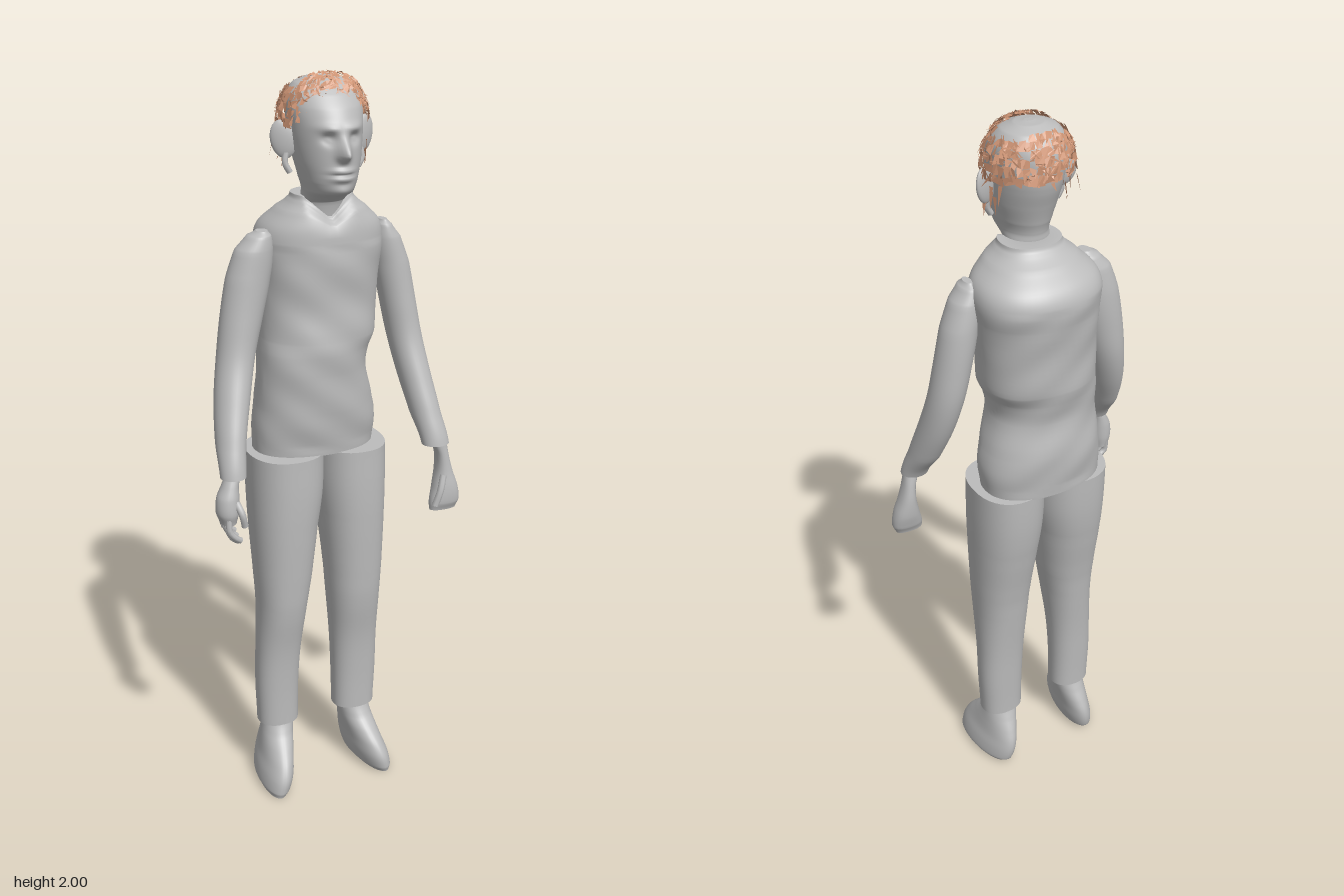
import * as THREE from 'three';

const grey = new THREE.MeshStandardMaterial({ color: 0xbcbcbc });
grey.name = 'plain grey';
const brown = new THREE.MeshStandardMaterial({ color: 0xd09676, side: THREE.DoubleSide });
brown.name = 'hair brown';

// Small seeded random function
let seed = 7;
const rnd = () => (seed = (seed * 16807) % 2147483647) / 2147483647;
const gauss = (d, w) => Math.exp(-(d * d) / (w * w));

// Skins rounded rings [y, xMin, xMax, zMin, zMax], listed from bottom to top
function loft(rings, { segs = 36, steps = 6, power = 2, rule } = {}) {
  const at = (i, k) => rings[Math.min(rings.length - 1, Math.max(0, i))][k];
  const cr = (a, b, c, d, t) =>
    0.5 * (2 * b + (c - a) * t + (2 * a - 5 * b + 4 * c - d) * t * t + (3 * b - a - 3 * c + d) * t * t * t);
  const rows = (rings.length - 1) * steps + 1;
  const pos = [], index = [], v = new THREE.Vector3();
  const add = (x, y, z) => {
    v.set(x, y, z);
    if (rule) rule(v);
    pos.push(v.x, v.y, v.z);
  };
  const ring = (r) => {
    const i = Math.min(rings.length - 2, Math.floor(r / steps)), t = r / steps - i;
    const [y, x0, x1, z0, z1] = [0, 1, 2, 3, 4].map((k) =>
      k ? cr(at(i - 1, k), at(i, k), at(i + 1, k), at(i + 2, k), t) : at(i, 0) + (at(i + 1, 0) - at(i, 0)) * t);
    for (let j = 0; j < segs; j++) {
      const a = (j / segs) * Math.PI * 2, s = Math.sin(a), c = Math.cos(a);
      add((x0 + x1) / 2 + ((x1 - x0) / 2) * Math.sign(s) * Math.abs(s) ** (2 / power), y,
        (z0 + z1) / 2 + ((z1 - z0) / 2) * Math.sign(c) * Math.abs(c) ** (2 / power));
    }
    return [(x0 + x1) / 2, y, (z0 + z1) / 2];
  };
  for (let r = 0; r < rows; r++) ring(r);
  for (let r = 0; r < rows - 1; r++) for (let j = 0; j < segs; j++) {
    const a = r * segs + j, b = r * segs + ((j + 1) % segs);
    index.push(a, b, a + segs, b, b + segs, a + segs);
  }
  // End caps with their own vertices so the rims stay sharp
  for (const r of [0, rows - 1]) {
    const base = pos.length / 3;
    add(...ring(r));
    for (let j = 0; j < segs; j++) {
      const a = base + j, b = base + ((j + 1) % segs);
      index.push(base + segs, ...(r ? [a, b] : [b, a]));
    }
  }
  const g = new THREE.BufferGeometry();
  g.setAttribute('position', new THREE.Float32BufferAttribute(pos, 3));
  g.setIndex(index);
  g.computeVertexNormals();
  return g;
}

// Face relief: nose, brows, eye sockets, lips and chin
function faceRule(v) {
  if (v.z < 0.05) return;
  const x = v.x - 0.003, ax = Math.abs(x), y = v.y;
  v.z += 0.038 * gauss(x, 0.015) * gauss(y - 1.815, y > 1.815 ? 0.035 : 0.014)
    + 0.008 * gauss(ax - 0.032, 0.025) * gauss(y - 1.878, 0.011)
    - 0.014 * gauss(ax - 0.033, 0.016) * gauss(y - 1.852, 0.013)
    + 0.006 * gauss(ax - 0.033, 0.009) * gauss(y - 1.850, 0.007)
    + 0.011 * gauss(x, 0.026) * (gauss(y - 1.775, 0.007) + gauss(y - 1.757, 0.007))
    - 0.007 * gauss(x, 0.028) * gauss(y - 1.766, 0.004)
    + 0.008 * gauss(x, 0.025) * gauss(y - 1.725, 0.014);
}

// Collar dip and soft cloth folds
function shirtRule(v) {
  if (v.y > 1.6 && v.z > 0) v.y -= 0.06 * Math.max(0, 1 - Math.abs(v.x - 0.005) / 0.065) * ((v.y - 1.6) / 0.1);
  if (v.y < 1.58 && v.y > 1.03) {
    const f = 0.003 * Math.sin(v.y * 42 + v.x * 16) * Math.sin(v.x * 22 + v.y * 9);
    v.z += Math.sign(v.z) * f;
  }
}

// Jagged hair shell with an open crown
function hairGeometry() {
  const pos = [], n = 44, m = 9;
  const point = (a, e, r = 1) => {
    const c = Math.max(0, Math.cos(e)) ** 0.7 * r;
    return [0.007 + 0.118 * c * Math.sin(a), 1.868 + 0.13 * Math.sin(e) * (0.5 + 0.5 * r), 0.002 + 0.105 * c * Math.cos(a)];
  };
  const jit = (a, e) => point(a + (rnd() - 0.5) * 0.1, e + (rnd() - 0.5) * 0.08, 0.96 + rnd() * 0.08);
  for (let i = 0; i < n; i++) for (let k = 0; k < m; k++) {
    const a = (i / n) * Math.PI * 2, da = 6.6 / n, front = Math.max(0, Math.cos(a));
    const e0 = 0.48 * front ** 2, de = (1.5 - e0) / m, e = e0 + k * de;
    const mid = point(a, e + de / 2);
    if (mid[2] < 0.02 && mid[2] > -0.065 && e > 0.72) continue;
    if (rnd() < 0.06) continue;
    const p = jit(a, e), q = jit(a + da, e), s = jit(a + da, e + de), t = jit(a, e + de);
    pos.push(...p, ...q, ...s, ...p, ...s, ...t);
  }
  // Loose tufts crossing the shell
  for (let i = 0; i < 170; i++) {
    const a = rnd() * 6.283, front = Math.max(0, Math.cos(a)), e = 0.45 * front + rnd() * 0.75;
    const w = 0.03 + rnd() * 0.03, tilt = (rnd() - 0.5) * 0.5;
    pos.push(...point(a - w, e, 1), ...point(a + w, e, 1.02), ...point(a + tilt, e + (rnd() - 0.45) * 0.5, 1.06));
  }
  // Wisps beside the ears
  for (const s of [-1, 1]) for (let i = 0; i < 9; i++) {
    const x = s * (0.085 + rnd() * 0.03), y = 1.87 - rnd() * 0.07, z = -0.03 + rnd() * 0.05;
    pos.push(x, y, z, x + s * 0.004, y, z + 0.012, x + s * rnd() * 0.015, y - 0.045, z + 0.004);
  }
  const g = new THREE.BufferGeometry();
  g.setAttribute('position', new THREE.Float32BufferAttribute(pos, 3));
  g.computeVertexNormals();
  return g;
}

export function createModel() {
  const model = new THREE.Group();
  const add = (name, geometry, material = grey) => {
    const mesh = new THREE.Mesh(geometry, material);
    mesh.name = name;
    model.add(mesh);
    return mesh;
  };
  const rod = (name, pts, r) =>
    add(name, new THREE.TubeGeometry(new THREE.CatmullRomCurve3(pts.map((p) => new THREE.Vector3(...p))), 8, r, 8));

  // Shirt
  add('shirt', loft([
    [1.01, -0.175, 0.16, -0.145, 0.075], [1.08, -0.175, 0.166, -0.152, 0.085], [1.14, -0.168, 0.155, -0.152, 0.09],
    [1.23, -0.162, 0.132, -0.145, 0.098], [1.29, -0.158, 0.14, -0.152, 0.1], [1.33, -0.154, 0.158, -0.16, 0.097],
    [1.42, -0.15, 0.165, -0.167, 0.092], [1.52, -0.15, 0.175, -0.176, 0.094], [1.58, -0.155, 0.182, -0.184, 0.093],
    [1.62, -0.143, 0.17, -0.168, 0.09], [1.66, -0.105, 0.128, -0.125, 0.082], [1.685, -0.077, 0.096, -0.09, 0.068],
    [1.70, -0.07, 0.088, -0.08, 0.06],
  ], { segs: 56, power: 2.25, rule: shirtRule }));

  // Trouser legs
  add('rightTrouserLeg', loft([
    [0.18, -0.192, -0.075, -0.05, 0.052], [0.3, -0.195, -0.073, -0.055, 0.055], [0.42, -0.192, -0.066, -0.062, 0.064],
    [0.55, -0.188, -0.052, -0.075, 0.085], [0.65, -0.192, -0.036, -0.088, 0.093], [0.8, -0.198, -0.016, -0.115, 0.1],
    [0.9, -0.2, 0.0, -0.13, 0.102], [1.012, -0.2, 0.004, -0.136, 0.1],
  ], { power: 2.3 }));
  add('leftTrouserLeg', loft([
    [0.18, 0.042, 0.165, -0.05, 0.052], [0.3, 0.04, 0.17, -0.055, 0.055], [0.42, 0.035, 0.17, -0.062, 0.064],
    [0.55, 0.025, 0.172, -0.075, 0.085], [0.65, 0.018, 0.177, -0.088, 0.093], [0.8, 0.005, 0.183, -0.115, 0.1],
    [0.9, -0.004, 0.186, -0.13, 0.102], [1.012, -0.006, 0.186, -0.136, 0.1],
  ], { power: 2.3 }));

  // Shoes, toes turned slightly out
  for (const [name, s, ankle] of [['rightShoe', -1, -0.13], ['leftShoe', 1, 0.1]]) {
    const shoe = add(name, loft([
      [0, -0.036, 0.036, -0.065, 0.145], [0.015, -0.046, 0.046, -0.082, 0.15], [0.05, -0.048, 0.048, -0.09, 0.148],
      [0.085, -0.045, 0.045, -0.088, 0.13], [0.12, -0.045, 0.045, -0.075, 0.098], [0.15, -0.045, 0.045, -0.06, 0.068],
      [0.19, -0.044, 0.044, -0.045, 0.048],
    ], { rule: (v) => { v.x += s * (0.035 * (1 - v.y / 0.19) + 0.1 * v.z * (1 - v.y / 0.25)); } }));
    shoe.position.x = ankle;
  }

  // Sleeves
  add('rightSleeve', loft([
    [1.02, -0.33, -0.262, 0.098, 0.165], [1.1, -0.325, -0.247, 0.04, 0.14], [1.2, -0.31, -0.218, -0.01, 0.102],
    [1.3, -0.29, -0.19, -0.04, 0.068], [1.4, -0.274, -0.162, -0.05, 0.056], [1.5, -0.255, -0.138, -0.052, 0.05],
    [1.57, -0.23, -0.13, -0.045, 0.046], [1.605, -0.198, -0.135, -0.032, 0.038], [1.618, -0.175, -0.145, -0.015, 0.025],
  ]));
  add('leftSleeve', loft([
    [1.02, 0.246, 0.322, 0.098, 0.165], [1.1, 0.23, 0.312, 0.04, 0.14], [1.2, 0.212, 0.3, -0.01, 0.102],
    [1.3, 0.194, 0.287, -0.04, 0.068], [1.4, 0.175, 0.271, -0.05, 0.056], [1.5, 0.157, 0.252, -0.052, 0.05],
    [1.57, 0.148, 0.225, -0.045, 0.046], [1.605, 0.155, 0.198, -0.032, 0.038], [1.618, 0.165, 0.185, -0.015, 0.025],
  ]));

  // Hands
  add('rightPalm', loft([
    [0.9, -0.338, -0.295, 0.112, 0.168], [0.93, -0.348, -0.288, 0.108, 0.176], [0.97, -0.345, -0.286, 0.108, 0.172],
    [1.0, -0.33, -0.285, 0.11, 0.162], [1.03, -0.318, -0.275, 0.112, 0.152],
  ], { segs: 20 }));
  for (let i = 0; i < 4; i++) {
    const z = 0.116 + i * 0.016, low = 0.845 + Math.abs(i - 2) * 0.008;
    rod('rightFinger', [[-0.322, 0.92, z], [-0.322, 0.885, z + 0.004], [-0.308, low + 0.012, z + 0.004], [-0.292, low, z]], 0.0085);
  }
  rod('rightThumb', [[-0.3, 0.96, 0.16], [-0.29, 0.93, 0.176], [-0.282, 0.895, 0.172]], 0.0095);
  add('leftPalm', loft([
    [0.828, 0.268, 0.345, 0.125, 0.16], [0.85, 0.268, 0.354, 0.115, 0.168], [0.89, 0.278, 0.35, 0.105, 0.168],
    [0.94, 0.288, 0.334, 0.102, 0.16], [0.985, 0.287, 0.322, 0.106, 0.155], [1.03, 0.272, 0.315, 0.112, 0.152],
  ], { segs: 20, power: 2.3 }));
  rod('leftThumb', [[0.3, 0.93, 0.155], [0.287, 0.89, 0.166], [0.272, 0.848, 0.166]], 0.0095);

  // Head and neck
  add('head', loft([
    [1.6, -0.055, 0.06, -0.055, 0.05], [1.685, -0.055, 0.061, -0.045, 0.062], [1.702, -0.055, 0.061, -0.045, 0.092],
    [1.718, -0.058, 0.064, -0.046, 0.128], [1.745, -0.066, 0.072, -0.054, 0.14], [1.79, -0.077, 0.083, -0.068, 0.142],
    [1.84, -0.085, 0.09, -0.085, 0.141], [1.88, -0.088, 0.094, -0.092, 0.138], [1.92, -0.09, 0.098, -0.092, 0.12],
    [1.95, -0.084, 0.092, -0.083, 0.095], [1.972, -0.066, 0.074, -0.066, 0.068], [1.985, -0.035, 0.043, -0.036, 0.036],
    [1.988, -0.01, 0.018, -0.01, 0.01],
  ], { segs: 96, steps: 9, rule: faceRule }));

  // Ears
  for (const s of [-1, 1]) {
    const ear = add(s < 0 ? 'rightEar' : 'leftEar', new THREE.SphereGeometry(1, 20, 14));
    ear.scale.set(0.032, 0.048, 0.011);
    ear.position.set(0.003 + s * 0.108, 1.842, 0.02);
    ear.rotation.set(0, s * 0.4, -s * 0.2);
    rod('earLobe', [[s * 0.1, 1.81, 0.025], [s * 0.104, 1.785, 0.028], [s * 0.092, 1.762, 0.03]], 0.008);
  }

  // Hair
  add('hair', hairGeometry(), brown);
  return model;
}
